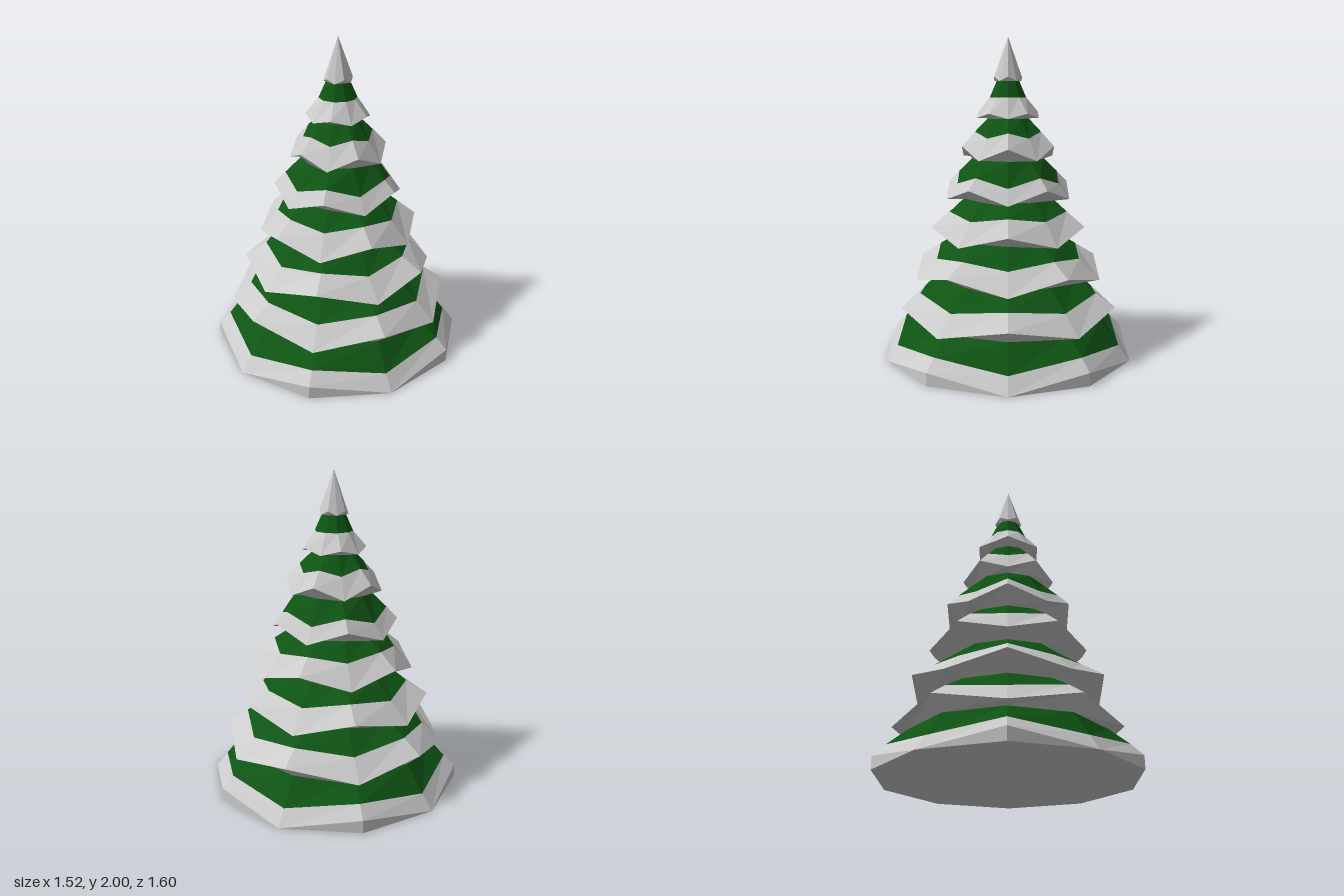
import * as THREE from 'three';

const SIDES = 10;
const white = new THREE.MeshStandardMaterial({ color: 0xcccccc, flatShading: true });
const green = new THREE.MeshStandardMaterial({ color: 0x0f5514, flatShading: true });

// Ten-sided ring; even corners sit at yEven, odd corners at yOdd
const ring = (r, yEven, yOdd = yEven) => Array.from({ length: SIDES }, (_, i) => {
  const a = (i / SIDES) * Math.PI * 2;
  return [r * Math.sin(a), i % 2 ? yOdd : yEven, r * Math.cos(a)];
});

// Faceted surface between two rings, facing outward when going up
function band(name, lower, upper, material) {
  const pos = [];
  for (let i = 0; i < SIDES; i++) {
    const j = (i + 1) % SIDES;
    pos.push(...lower[i], ...lower[j], ...upper[j]);
    pos.push(...lower[i], ...upper[j], ...upper[i]);
  }
  const g = new THREE.BufferGeometry();
  g.setAttribute('position', new THREE.Float32BufferAttribute(pos, 3));
  g.computeVertexNormals();
  const mesh = new THREE.Mesh(g, material);
  mesh.name = name;
  return mesh;
}

// Each tier: rim radius, rim low/high y, snow edge radius and low/high y, neck radius and y
const TIERS = [
  [0.8, 0, 0.08, 0.727, 0.094, 0.15, 0.605, 0.25],
  [0.7, 0.255, 0.335, 0.577, 0.375, 0.417, 0.435, 0.5],
  [0.6, 0.505, 0.585, 0.467, 0.63, 0.667, 0.335, 0.75],
  [0.5, 0.755, 0.835, 0.384, 0.895, 0.927, 0.275, 1.0],
  [0.4, 1.005, 1.085, 0.33, 1.1, 1.155, 0.23, 1.25],
  [0.3, 1.255, 1.33, 0.215, 1.385, 1.42, 0.132, 1.5],
  [0.2, 1.505, 1.535, 0.118, 1.63, 1.63, 0.073, 1.73],
];

export function createModel() {
  const tree = new THREE.Group();
  tree.name = 'snowyTree';

  // Flat base and the short wall up to the lowest rim
  const foot = ring(0.8, 0);
  tree.add(band('base', ring(0, 0), foot, white));
  tree.add(band('baseWall', foot, ring(0.8, 0.08, 0), white));

  // Stacked branch tiers, the zigzag swapping from one to the next
  let neck = null;
  TIERS.forEach(([r, lo, hi, rs, slo, shi, rn, yn], k) => {
    const zig = (rad, a, b) => (k % 2 ? ring(rad, a, b) : ring(rad, b, a));
    const rim = zig(r, lo, hi);
    const edge = zig(rs, slo, shi);
    const tier = new THREE.Group();
    tier.name = `tier${k + 1}`;
    if (neck) tier.add(band('underside', neck, rim, white));
    neck = ring(rn, yn);
    tier.add(band('snow', rim, edge, white));
    tier.add(band('branches', edge, neck, green));
    tree.add(tier);
  });

  // Pointed snowy tip
  const tipRim = ring(0.09, 1.73, 1.755);
  tree.add(band('tipUnderside', neck, tipRim, white));
  tree.add(band('tip', tipRim, ring(0, 2), white));
  return tree;
}
